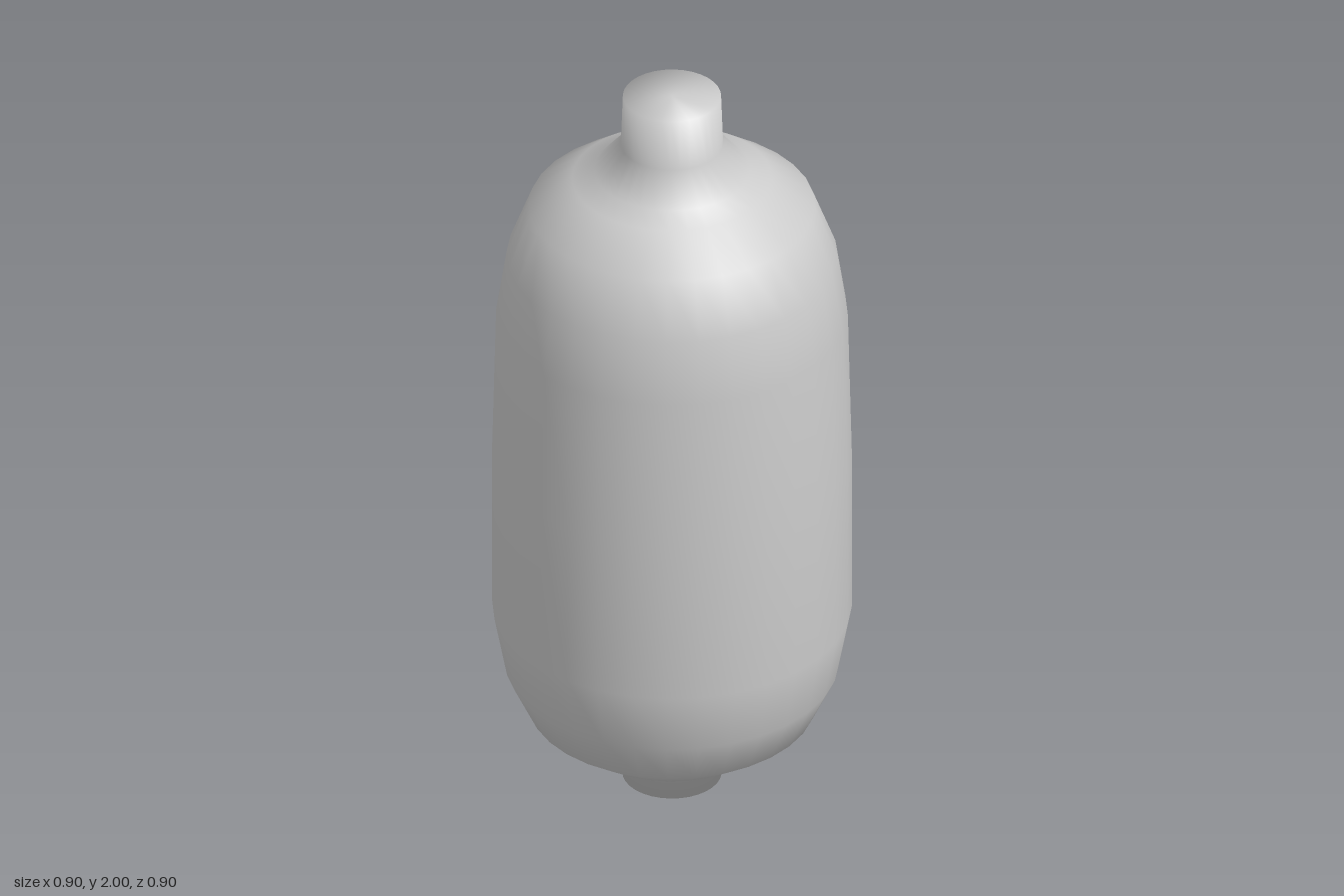
import * as THREE from 'three';

const SIDES = 32;

// Smooth turned part from [radius, height] pairs, bottom to top
function turned(name, profile) {
  const points = profile.map(([r, y]) => new THREE.Vector2(r, y));
  const material = new THREE.MeshStandardMaterial({ color: 0xcccccc });
  const mesh = new THREE.Mesh(new THREE.LatheGeometry(points, SIDES), material);
  mesh.name = name;
  return mesh;
}

export function createModel() {
  const group = new THREE.Group();
  group.name = 'bulgingCanister';

  // One continuous skin: closed foot, rounded belly, sloping shoulder, closed neck
  group.add(turned('canisterBody', [
    // foot
    [0, 0], [0.124, 0], [0.124, 0.075],
    // rounded underside
    [0.25, 0.13], [0.36, 0.208], [0.418, 0.33],
    // belly, narrowing slightly upwards
    [0.45, 0.5], [0.45, 0.95], [0.44, 1.36], [0.414, 1.53],
    // shoulder
    [0.358, 1.677], [0.25, 1.757], [0.195, 1.783],
    // neck
    [0.128, 1.86], [0.123, 2], [0, 2],
  ]));

  return group;
}
